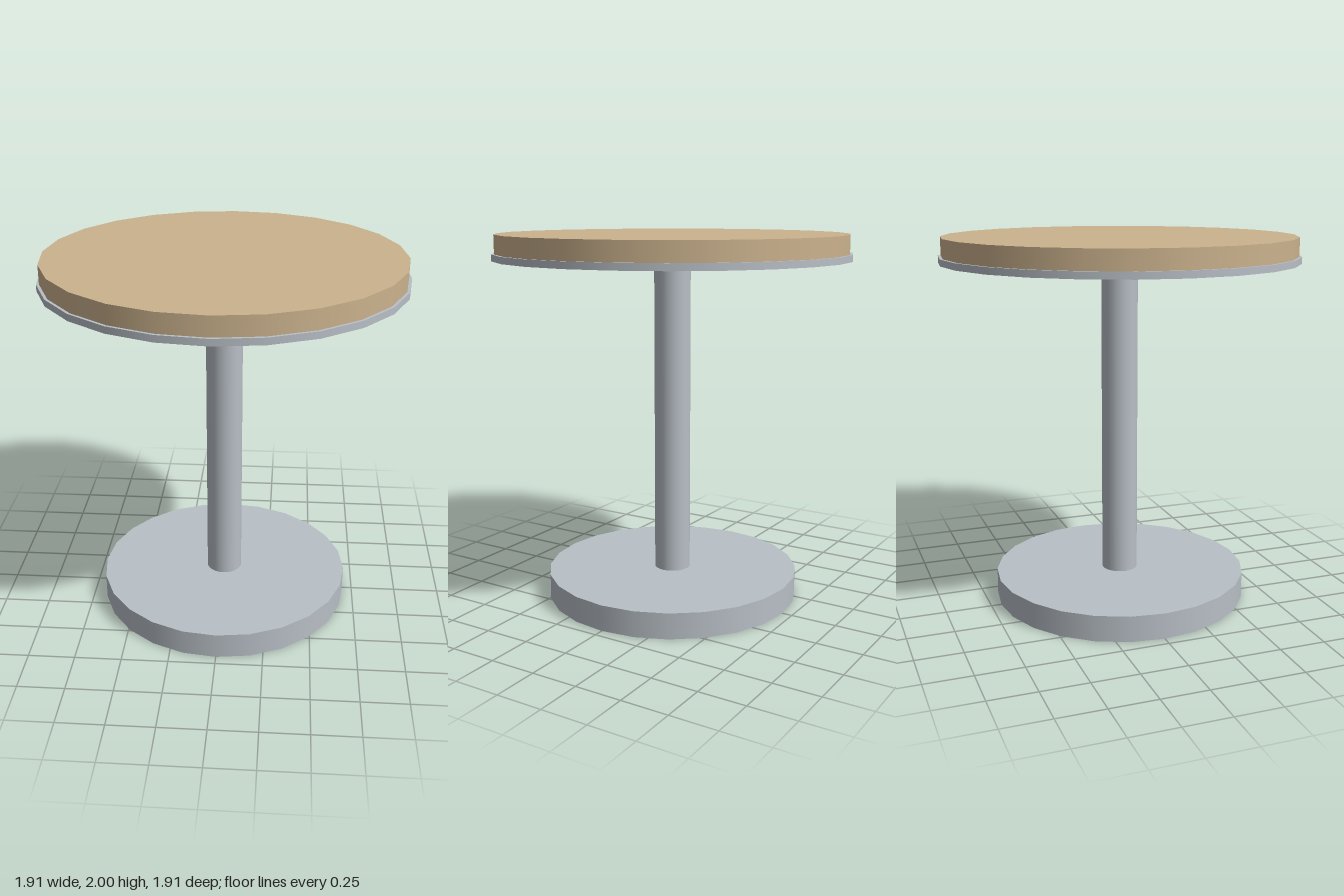
import * as THREE from 'three';

export function createModel() {
  const model = new THREE.Group();
  model.name = 'pedestalTable';

  const wood = new THREE.MeshStandardMaterial({ color: 0xcbb28d });
  wood.name = 'light wood';
  const metal = new THREE.MeshStandardMaterial({ color: 0xb8bfc6 });
  metal.name = 'grey metal';

  // Upright disc or post between two heights
  const disc = (name, radius, bottom, top, material) => {
    const geometry = new THREE.CylinderGeometry(radius, radius, top - bottom, 24);
    const mesh = new THREE.Mesh(geometry, material);
    mesh.name = name;
    mesh.position.y = (bottom + top) / 2;
    model.add(mesh);
  };

  disc('base', 0.695, 0, 0.14, metal);
  disc('column', 0.098, 0.14, 1.865, metal);
  disc('supportPlate', 0.955, 1.865, 1.9, metal);
  disc('tableTop', 0.94, 1.9, 2, wood);

  return model;
}
